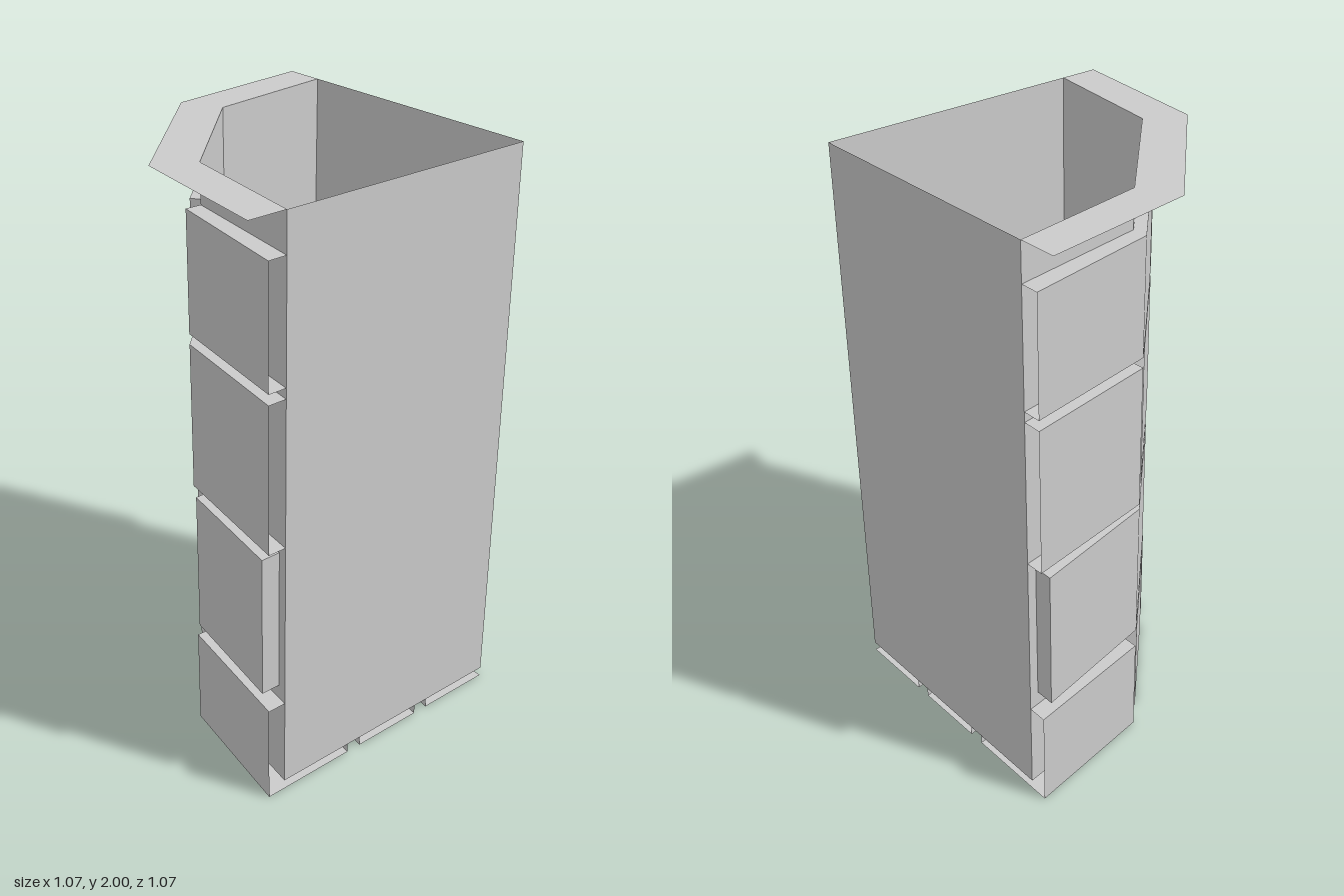
import * as THREE from 'three';

const H = 2, FLOOR = 0.033, E = 0.535;
const material = new THREE.MeshStandardMaterial({ color: 0xcccccc, side: THREE.DoubleSide, flatShading: true });

// Plan outlines as [x, z]: wall core, brick faces and the rim's outer edge
const core = [[-0.4, -E], [-0.333, -0.067], [0.067, 0.333], [E, 0.4]];
const face = [[-0.465, -E], [-0.387, -0.065], [0.065, 0.387], [E, 0.465]];
const rim = [[-E, -E], [-0.467, 0], [0, 0.467], [E, E]];

const at = ([x, z], y) => [x, y, z];
const lerp = (a, b, t) => [a[0] + (b[0] - a[0]) * t, a[1] + (b[1] - a[1]) * t];
const shrink = (path, s) => path.map(([x, z]) => [E + (x - E) * s, -E + (z + E) * s]); // towards the pillar axis
const wall = (a, b, y0, y1) => [at(a, y0), at(b, y0), at(b, y1), at(a, y1)];
const onCut = (a, b) => (a[0] === E && b[0] === E) || (a[1] === -E && b[1] === -E);

// Mesh from a list of convex polygons
function surface(name, polygons) {
  const pos = [];
  for (const p of polygons)
    for (let i = 1; i < p.length - 1; i++) pos.push(...p[0], ...p[i], ...p[i + 1]);
  const geometry = new THREE.BufferGeometry();
  geometry.setAttribute('position', new THREE.Float32BufferAttribute(pos, 3));
  geometry.computeVertexNormals();
  const mesh = new THREE.Mesh(geometry, material);
  mesh.name = name;
  return mesh;
}

// Block between an outer and an inner path, left open where it meets a cut plane
function stone(name, outer, inner, y0, y1, isFloor = false) {
  const polys = [];
  const n = outer.length - 1;
  for (let i = 0; i < n; i++) {
    const [a, b, c, d] = [outer[i], outer[i + 1], inner[i + 1], inner[i]];
    polys.push([at(d, y0), at(c, y0), at(b, y0), at(a, y0)]);
    if (isFloor) polys.push(wall(c, d, y0, y1));
    else polys.push([at(a, y1), at(b, y1), at(c, y1), at(d, y1)]);
    // floor stones under the wall bricks need no outer side
    if (!isFloor || outer.open !== true) polys.push(wall(a, b, y0, y1));
  }
  if (!onCut(inner[0], outer[0])) polys.push(wall(inner[0], outer[0], y0, y1));
  if (!onCut(outer[n], inner[n])) polys.push(wall(outer[n], inner[n], y0, y1));
  return surface(name, polys);
}

export function createModel() {
  const group = new THREE.Group();
  const axis = [E, -E];

  // Hollow core: three outer sides and two cut sides
  const loop = [...core, axis];
  group.add(surface('wallCore', loop.map((p, i) => wall(p, loop[(i + 1) % loop.length], FLOOR, H))));
  group.add(surface('floor', [loop.map((p) => at(p, FLOOR)).reverse()]));

  // Flat overhanging rim
  group.add(surface('topRim', [0, 1, 2].map((i) =>
    [at(rim[i], H), at(rim[i + 1], H), at(core[i + 1], H), at(core[i], H)])));

  // Ends of bricks beside a vertical joint
  const rightEnd = { o: [0, 0.323], i: [0.034, 0.3] };
  const leftEnd = { o: [-0.323, 0], i: [-0.3, -0.034] };
  const leftSide = [face.slice(0, 2), core.slice(0, 2)];
  const rightSide = [face.slice(2), core.slice(2)];
  const diagonal = [[leftEnd.o, rightEnd.o], [leftEnd.i, rightEnd.i]];
  const leftWrap = [[face[0], face[1], rightEnd.o], [core[0], core[1], rightEnd.i]];
  const rightWrap = [[[-0.3, 0.022], face[2], face[3]], [leftEnd.i, core[2], core[3]]];
  const shortWrap = [[[-0.463, -0.5], [-0.37, -0.048], rightEnd.o], [[-0.395, -0.5], core[1], rightEnd.i]];
  const shortRight = [[[0.08, 0.39], [0.5, 0.463]], [[0.08, 0.335], [0.5, 0.395]]];

  // Four courses of wall bricks
  const courses = [
    { y: [0, 0.35], bricks: [leftSide, diagonal, rightSide] },
    { y: [0.4, 0.9], bricks: [shortWrap, shortRight] },
    { y: [0.935, 1.435], bricks: [leftSide, rightWrap] },
    { y: [1.47, 1.87], bricks: [leftWrap, rightSide] },
  ];
  courses.forEach(({ y, bricks }, row) => bricks.forEach(([o, i], k) =>
    group.add(stone(`brickCourse${row + 1}Brick${k + 1}`, o, i, y[0], y[1]))));

  // Underside paving: outer ring continues the lowest bricks
  [leftSide, diagonal, rightSide].forEach(([, path], k) => {
    const outer = path.slice();
    outer.open = true;
    group.add(stone(`outerFloorStone${k + 1}`, outer, shrink(path, 0.7), 0, FLOOR, true));
  });
  const middle = [
    [core[0], core[1], lerp(core[1], core[2], 0.45)],
    [lerp(core[1], core[2], 0.55), core[2], core[3]],
  ];
  middle.forEach((path, k) =>
    group.add(stone(`middleFloorStone${k + 1}`, shrink(path, 0.64), shrink(path, 0.36), 0, FLOOR, true)));
  group.add(stone('centreFloorStone', shrink(core, 0.3), core.map(() => axis), 0, FLOOR, true));

  return group;
}
